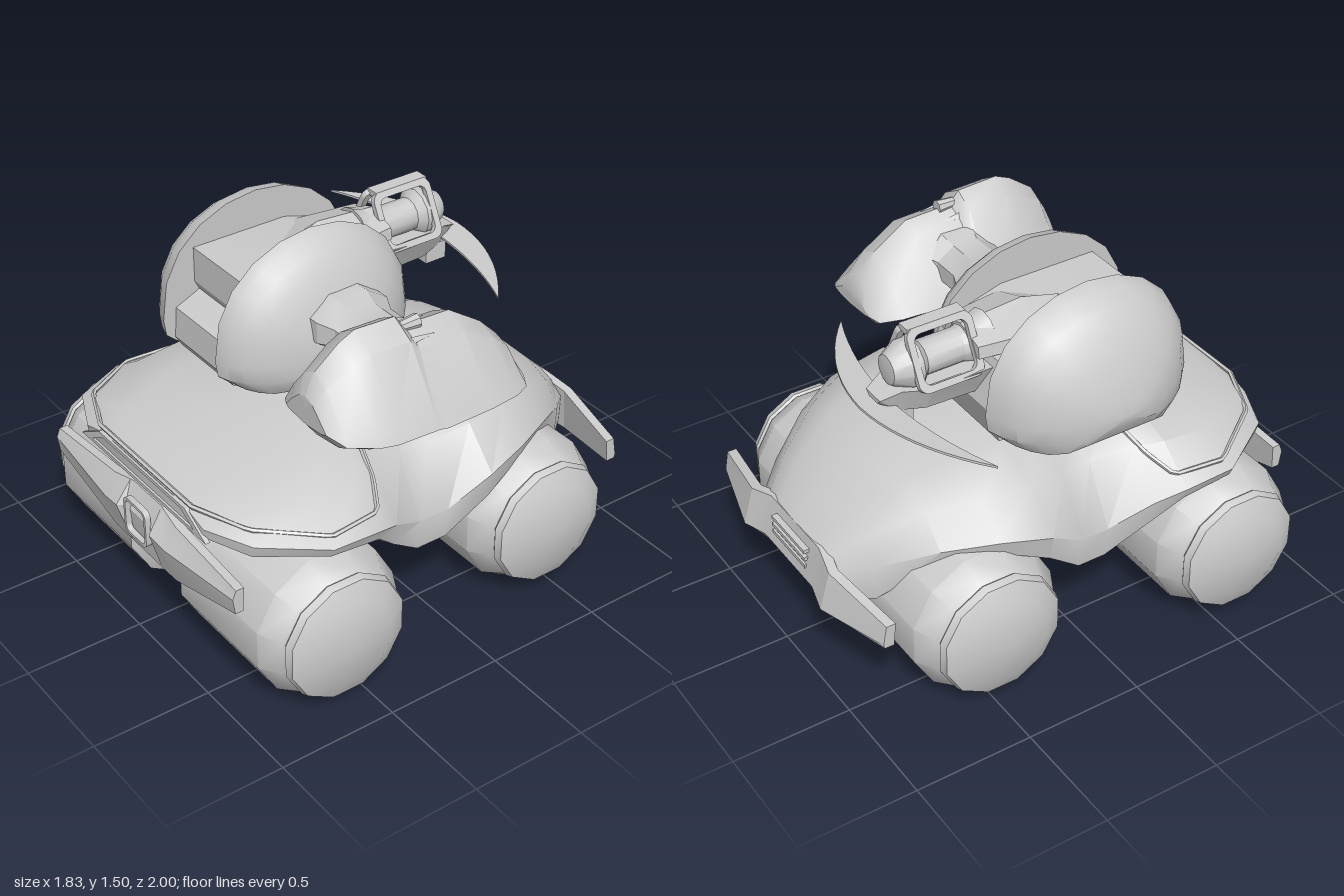
import * as THREE from 'three';
import { toCreasedNormals } from 'three/addons/utils/BufferGeometryUtils.js';

const material = new THREE.MeshStandardMaterial({ color: 0xcccccc, side: THREE.DoubleSide });

function add(parent, name, geometry, crease = 0.6) {
  const mesh = new THREE.Mesh(toCreasedNormals(geometry, crease), material);
  mesh.name = name;
  parent.add(mesh);
  return mesh;
}

// Skin a list of equal-length point rings, close both ends, and face it outward
function loft(rings) {
  const n = rings[0].length, pos = rings.flat(2), idx = [];
  for (let r = 0; r < rings.length - 1; r++)
    for (let i = 0; i < n; i++) {
      const a = r * n + i, b = r * n + (i + 1) % n;
      idx.push(a, b, a + n, b, b + n, a + n);
    }
  [0, rings.length - 1].forEach((r, end) => {
    const c = pos.length / 3;
    for (let k = 0; k < 3; k++) pos.push(rings[r].reduce((s, p) => s + p[k], 0) / n);
    for (let i = 0; i < n; i++) {
      const a = r * n + i, b = r * n + (i + 1) % n;
      idx.push(...(end ? [c, a, b] : [c, b, a]));
    }
  });
  const v = i => new THREE.Vector3().fromArray(pos, i * 3);
  let volume = 0;
  for (let i = 0; i < idx.length; i += 3) volume += v(idx[i]).dot(v(idx[i + 1]).cross(v(idx[i + 2])));
  if (volume < 0) idx.reverse();
  const g = new THREE.BufferGeometry();
  g.setAttribute('position', new THREE.Float32BufferAttribute(pos, 3));
  g.setIndex(idx);
  return g;
}

const shape = pts => new THREE.Shape(pts.map(p => new THREE.Vector2(...p)));
const extrude = (s, depth) => new THREE.ExtrudeGeometry(s, { depth, bevelEnabled: false, curveSegments: 10 });
const box = (w, h, d, x, y, z) => new THREE.BoxGeometry(w, h, d).translate(x, y, z);
// Repeat rows of [x, ...] on the other side of x = 0
const mirrorRows = rows => [...rows.map(([x, ...rest]) => [-x, ...rest]), ...rows.slice().reverse()];

function roundRect(w, h, r, Type = THREE.Shape) {
  const s = new Type();
  [[1, 1], [-1, 1], [-1, -1], [1, -1]].forEach(([x, y], i) =>
    s.absarc(x * (w / 2 - r), y * (h / 2 - r), r, i * Math.PI / 2, (i + 1) * Math.PI / 2));
  s.closePath();
  return s;
}

// Barrel wheel with inner cone and domed hub; reach is how far the hub extends in x
function addWheel(parent, name, side, z, reach) {
  const tread = [[0, 0.045], [0.321, 0.185], [0.321, reach - 0.2], [0.275, reach - 0.115], [0.262, reach - 0.1]];
  const hub = [[0.27, reach - 0.09], [0.26, reach - 0.06], [0.18, reach - 0.02], [0, reach]];
  const points = [...tread, ...hub].map(p => new THREE.Vector2(...p));
  const wheel = add(parent, name, new THREE.LatheGeometry(points, 12, Math.PI / 12), 0.65);
  wheel.rotation.z = -side * Math.PI / 2;
  wheel.position.set(0, 0.31, z);
}

function addChassis(parent) {
  // Stations along z: [z, roof y, half width, fender edge y, skirt y, belly y]
  const stations = [
    [0.94, 0.74, 0.42, 0.7, 0.66, 0.64], [0.85, 0.785, 0.62, 0.7, 0.65, 0.63],
    [0.6, 0.835, 0.77, 0.67, 0.63, 0.6], [0.38, 0.875, 0.77, 0.66, 0.61, 0.4],
    [0.27, 0.89, 0.71, 0.6, 0.5, 0.25], [0.1, 0.89, 0.64, 0.5, 0.36, 0.2],
    [-0.03, 0.89, 0.65, 0.51, 0.37, 0.21], [-0.2, 0.885, 0.7, 0.63, 0.52, 0.34],
    [-0.4, 0.86, 0.65, 0.66, 0.6, 0.45], [-0.6, 0.81, 0.54, 0.63, 0.57, 0.48],
    [-0.8, 0.69, 0.4, 0.55, 0.39, 0.38], [-0.93, 0.56, 0.28, 0.49, 0.36, 0.35],
  ];
  add(parent, 'hull', loft(stations.map(([z, roof, w, edge, skirt, belly]) => {
    const rise = roof - edge;
    const half = [[0.5 * w, roof - 0.06 * rise], [0.79 * w, edge + 0.62 * rise], [w, edge],
      [0.975 * w, skirt], [0.18 * w, belly + 0.02]];
    return [[0, roof, z], ...half.map(([x, y]) => [x, y, z]),
      [0, belly, z], ...half.reverse().map(([x, y]) => [-x, y, z])];
  })), 0.75);

  // Raised seam around the hood
  const seam = mirrorRows([[0.42, 0.855, 0.25], [0.6, 0.765, 0.3], [0.71, 0.705, 0.36], [0.73, 0.7, 0.58], [0.56, 0.735, 0.83], [0.33, 0.747, 0.93]]);
  const pts = seam.map(p => new THREE.Vector3(...p));
  const path = new THREE.CurvePath();
  pts.slice(1).forEach((p, i) => path.add(new THREE.LineCurve3(pts[i], p)));
  add(parent, 'hoodSeam', new THREE.TubeGeometry(path, 88, 0.01, 5));

  // Intake frame in the nose
  const frame = shape([[-0.45, 0.655], [0.45, 0.655], [0.31, 0.735], [-0.31, 0.735]]);
  frame.holes.push(shape([[-0.37, 0.67], [-0.28, 0.72], [0.28, 0.72], [0.37, 0.67]]));
  add(parent, 'noseIntake', extrude(frame, 0.02).translate(0, 0, 0.93), 0.3);
  add(parent, 'rearHatch', box(0.09, 0.02, 0.05, 0, 0.84, -0.47), 0.3);
}

function addBumpers(parent) {
  // Half sections from tip to centre: [x, bottom y, top y, z at bottom, crease and top];
  // fold is the height of the crease between bottom and top
  const bumper = (name, depth, fold, half) => add(parent, name, loft(mirrorRows(half).map(([x, lo, hi, zb, zm, zt]) => [
    [x, lo, zb], [x, lo + fold * (hi - lo), zm], [x, hi, zt], [x, hi, zt + depth], [x, lo, zb + depth],
  ])), 0.3);
  bumper('frontBumper', -0.035, 0.65, [[0.645, 0.46, 0.565, 0.955, 0.965, 0.95], [0.22, 0.34, 0.59, 0.95, 0.995, 0.94],
    [0.12, 0.34, 0.61, 0.95, 1, 0.93], [0.1, 0.34, 0.61, 0.95, 0.97, 0.925]]);
  bumper('rearBumper', 0.04, 0.17, [[0.64, 0.38, 0.48, -0.91, -0.915, -0.9], [0.31, 0.34, 0.53, -0.97, -1, -0.955],
    [0.19, 0.35, 0.56, -0.95, -0.97, -0.93]]);

  const latch = roundRect(0.16, 0.17, 0.03);
  latch.holes.push(roundRect(0.135, 0.145, 0.025, THREE.Path));
  add(parent, 'frontLatch', extrude(latch, 0.025).translate(0, 0.5, 0.965));
  for (let i = 0; i < 3; i++) add(parent, 'rearGrilleBar', box(0.26, 0.016, 0.03, 0, 0.44 + i * 0.035, -0.95), 0.3);
}

function addTurret(parent) {
  add(parent, 'neck', new THREE.CylinderGeometry(0.167, 0.167, 0.1, 20).scale(1, 1, 0.6).translate(0, 0.91, 0.055));

  // Two domed shells either side of an open slot: a side outline shrinking outward
  const dome = [];
  for (let i = 0; i <= 10; i++) {
    const a = i / 10 * Math.PI;
    dome.push([0.135 + 0.445 * Math.cos(a), 1.06 + 0.44 * Math.sin(a) ** 0.85]);
  }
  const outline = [[-0.23, 0.92], [0.49, 0.92], [0.57, 0.99], ...dome, [-0.3, 0.99]];
  for (const [side, x0, reach, name] of [[-1, -0.4, 0.295, 'rightTurretShell'], [1, -0.03, 0.235, 'leftTurretShell']]) {
    const rings = [];
    for (let i = 0; i <= 7; i++) {
      const t = Math.sin(i / 7 * 1.5), wide = (1 - t * t) ** 0.55 - 0.1 * t * (1 - t), tall = (1 - t * t) ** 0.75;
      const floor = 0.92 + 0.13 * t ** 8;
      rings.push(outline.map(([z, y]) => [x0 + side * t * reach,
        y > 1.06 ? 1.06 + (y - 1.06) * tall : Math.max(y, floor), 0.135 + (z - 0.135) * wide]));
    }
    add(parent, name, loft(rings));
  }

  // Stepped block filling the slot, extruded across x
  const core = shape([[-0.25, 0.92], [0.5, 0.92], [0.53, 0.97], [0.52, 1.1], [0.41, 1.15], [0.43, 1.19],
    [0.43, 1.34], [0, 1.34], [-0.24, 1.27], [-0.3, 1.08]]);
  add(parent, 'turretCore', extrude(core, 0.372).rotateY(-Math.PI / 2).translate(-0.029, 0, 0), 0.3);
  // Arrow-shaped spine over the core
  add(parent, 'spine', loft([[0.14, 0.01, 1.345], [-0.03, 0.17, 1.39], [-0.3, 0.13, 1.37]].map(
    ([z, w, top]) => [[-0.215 - w, 1.28, z], [-0.215 - w * 0.95, 1.33, z], [-0.215, top, z],
      [-0.215 + w * 0.95, 1.33, z], [-0.215 + w, 1.28, z]])), 0.3);
}

function addTail(parent) {
  const tail = new THREE.Group();
  tail.name = 'tailAssembly';
  tail.position.x = -0.215;
  parent.add(tail);
  // Lower cradle and barrel
  add(tail, 'cradle', loft([[-0.2, 0.15, 1.11, 1.24], [-0.5, 0.13, 1.11, 1.22], [-0.6, 0.08, 1.12, 1.22], [-0.68, 0.05, 1.17, 1.19]].map(
    ([z, w, lo, hi]) => [[-w * 0.6, lo, z], [w * 0.6, lo, z], [w, hi, z], [-w, hi, z]])), 0.3);
  const barrel = [[0, 0.2], [0.11, 0.2], [0.07, 0.32], [0.07, 0.48], [0.1, 0.51], [0.1, 0.55], [0.06, 0.62], [0, 0.63]];
  add(tail, 'barrel', new THREE.LatheGeometry(barrel.map(p => new THREE.Vector2(...p)), 12)
    .rotateX(-Math.PI / 2).translate(0, 1.28, 0));
  // Leaning window frames meeting at a ridge
  for (const side of [-1, 1]) {
    const s = roundRect(0.28, 0.25, 0.04);
    s.holes.push(roundRect(0.225, 0.195, 0.03, THREE.Path));
    const f = add(tail, 'windowFrame', extrude(s, 0.025).translate(0, 0, -0.0125).rotateY(Math.PI / 2));
    f.position.set(side * 0.075, 1.325, -0.415);
    f.rotation.z = side * 0.47;
  }
  add(tail, 'ridge', box(0.06, 0.025, 0.25, 0, 1.43, -0.42), 0.3);

  // Thin crescent wing and its bracket
  const wing = new THREE.Shape();
  wing.moveTo(-0.56, 0.5).quadraticCurveTo(-0.3, 0.73, 0, 0.74).quadraticCurveTo(0.3, 0.73, 0.56, 0.5);
  wing.quadraticCurveTo(0.3, 0.61, 0, 0.62).quadraticCurveTo(-0.3, 0.61, -0.56, 0.5);
  add(tail, 'crescentWing', extrude(wing, 0.01).rotateX(-Math.PI / 2 + 0.06).translate(0, 1.105, 0));
  add(tail, 'wingBracket', box(0.1, 0.08, 0.1, 0, 1.09, -0.59), 0.3);
}

function addPod(parent) {
  // Side pod: one cross-section resized along z [z, width, low y, high y]
  const section = [[-0.02, 1], [0.08, 0.86], [0.24, 0.26], [0.26, 0.17], [0.19, 0.07], [0, 0],
    [-0.24, 0.1], [-0.28, 0.19], [-0.2, 0.55], [-0.105, 0.88]];
  const rows = [[0.585, 0.46, 1.11, 1.23], [0.54, 0.72, 1.05, 1.31], [0.43, 0.9, 1.01, 1.39], [0.36, 0.97, 1, 1.42],
    [0.18, 1, 1, 1.41], [0.14, 1, 1, 1.36], [-0.07, 0.98, 1, 1.35], [-0.22, 0.85, 1, 1.25], [-0.3, 0.68, 1, 1.17], [-0.325, 0.5, 1.03, 1.11]];
  add(parent, 'sidePod', loft(rows.map(([z, w, lo, hi]) => section.map(([x, t]) => [0.58 + x * w, lo + t * (hi - lo), z]))), 0.55);
  add(parent, 'podNozzle', new THREE.CylinderGeometry(0.02, 0.03, 0.1, 8).rotateX(Math.PI / 2).translate(0.565, 1.36, 0.13));
  for (const side of [-1, 1])
    add(parent, 'podFang', new THREE.ConeGeometry(0.02, 0.13, 4).rotateX(-Math.PI / 2).translate(0.565 + side * 0.06, 1.325, 0.1), 0.3);

  // Waisted arm linking turret and pod: octagonal rings [x, scale]
  const arm = [[0.1, 1], [0.2, 1], [0.27, 0.8], [0.39, 0.8], [0.45, 1], [0.48, 1]].map(([x, s]) =>
    Array.from({ length: 8 }, (_, i) => {
      const a = (i + 0.5) * Math.PI / 4;
      return [x, 1.19 + 0.118 * s * Math.sin(a), 0.105 + 0.178 * s * Math.cos(a)];
    }));
  add(parent, 'podArm', loft(arm), 0.4);
  const strut = add(parent, 'podStrut', new THREE.BoxGeometry(0.26, 0.035, 0.2), 0.3);
  strut.position.set(0.29, 1.0, 0.1);
  strut.rotation.z = 0.5;
  add(parent, 'strutFoot', box(0.28, 0.03, 0.2, 0.1, 0.95, 0.1), 0.3);
}

export function createModel() {
  const model = new THREE.Group();
  model.name = 'armouredRover';
  addChassis(model);
  addBumpers(model);
  for (const [side, label] of [[-1, 'right'], [1, 'left']]) {
    addWheel(model, label + 'FrontWheel', side, 0.6, 0.915);
    addWheel(model, label + 'RearWheel', side, -0.465, 0.82);
  }
  addTurret(model);
  addTail(model);
  addPod(model);
  return model;
}
